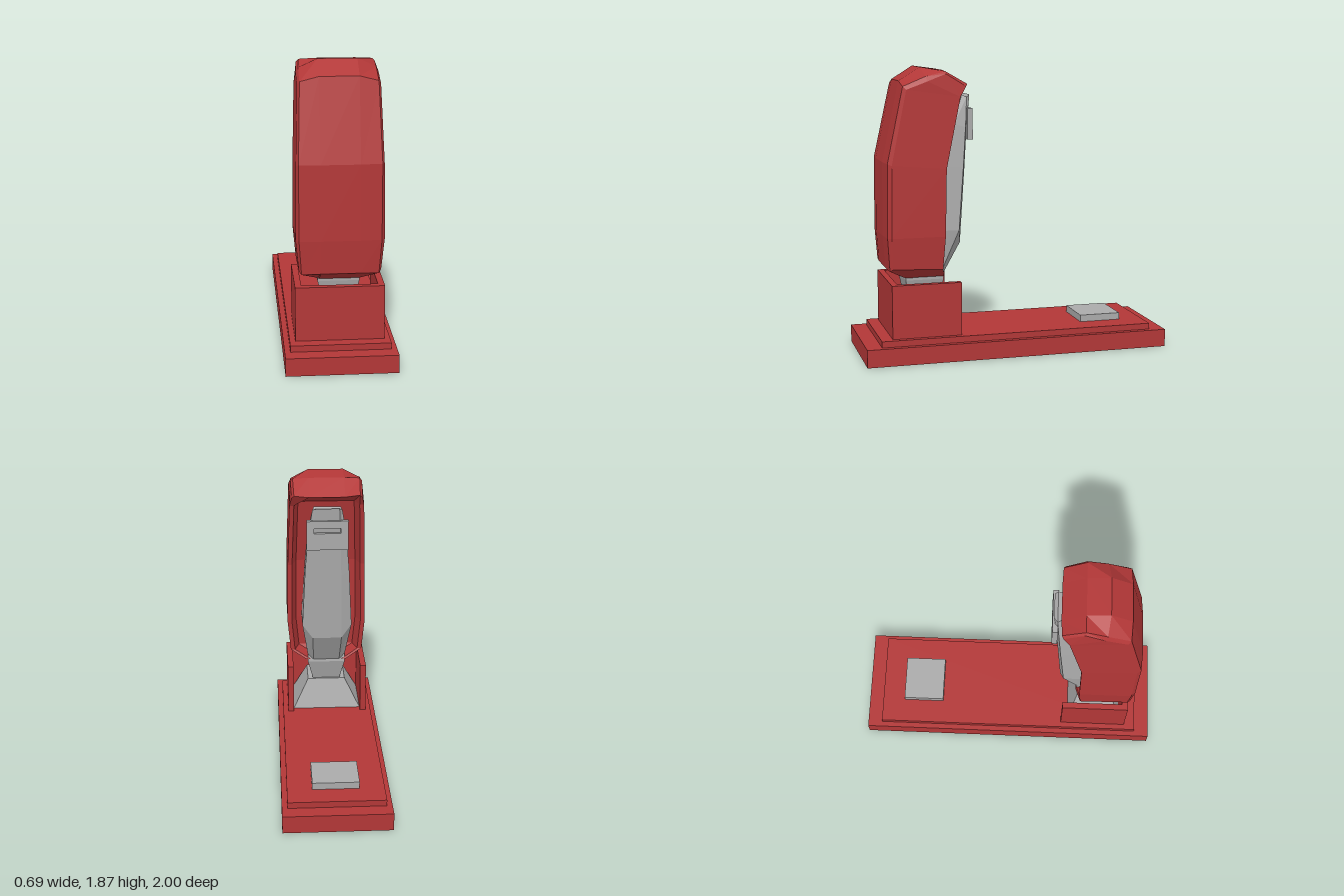
import * as THREE from 'three';

const red = new THREE.MeshStandardMaterial({ color: 0xb23737 });
red.name = 'red casing';
const gray = new THREE.MeshStandardMaterial({ color: 0xaaaaaa });
gray.name = 'gray metal';

// Skins matching rings of [x, y, z] points with flat facets and closes both ends.
function loft(rings, caps) {
  const pos = [];
  const tri = (a, b, c) => {
    const [A, B, C] = [a, b, c].map((p) => new THREE.Vector3(...p));
    const area = B.clone().sub(A).cross(C.clone().sub(A)).length();
    if (area > 1e-7) pos.push(...a, ...b, ...c);
  };
  const quad = (a, b, c, d) => { tri(a, b, c); tri(a, c, d); };
  const n = rings[0].length;
  for (let i = 0; i + 1 < rings.length; i++) {
    const lo = rings[i], hi = rings[i + 1];
    for (let k = 0; k < n; k++) {
      const j = (k + 1) % n;
      quad(lo[k], lo[j], hi[j], hi[k]);
    }
  }
  const first = rings[0], last = rings[rings.length - 1];
  for (const [a, b, c, d] of caps) {
    quad(first[d], first[c], first[b], first[a]);
    quad(last[a], last[b], last[c], last[d]);
  }
  const g = new THREE.BufferGeometry();
  g.setAttribute('position', new THREE.Float32BufferAttribute(pos, 3));
  g.computeVertexNormals();
  return g;
}

// Completes a half ring with its mirror image across x.
const mirrorRing = (half) => [...half, ...half.slice().reverse().map(([x, y, z]) => [-x, y, z])];

export function createModel() {
  const model = new THREE.Group();
  const add = (name, geometry, material) => {
    const mesh = new THREE.Mesh(geometry, material);
    mesh.name = name;
    model.add(mesh);
    return mesh;
  };
  const box = (name, material, x0, x1, y0, y1, z0, z1) =>
    add(name, new THREE.BoxGeometry(x1 - x0, y1 - y0, z1 - z0), material)
      .position.set((x0 + x1) / 2, (y0 + y1) / 2, (z0 + z1) / 2);

  // Stepped base and staple anvil
  box('base', red, -0.345, 0.345, 0, 0.115, -1, 1);
  box('baseStep', red, -0.31, 0.31, 0.115, 0.155, -0.9, 0.9);
  box('anvil', gray, -0.15, 0.15, 0.155, 0.2, -0.745, -0.47);

  // Three-sided hinge housing, open at the top and back
  const bracket = new THREE.Shape([
    [-0.275, -0.375], [-0.275, -0.825], [0.275, -0.825], [0.275, -0.375],
    [0.235, -0.375], [0.235, -0.785], [-0.235, -0.785], [-0.235, -0.375],
  ].map(([x, y]) => new THREE.Vector2(x, y)));
  const bracketGeo = new THREE.ExtrudeGeometry(bracket, { depth: 0.345, bevelEnabled: false });
  bracketGeo.rotateX(-Math.PI / 2);
  add('hingeHousing', bracketGeo, red).position.y = 0.155;

  // Flared pedestal and the neck rising from it: [half width, y, front z, back z]
  const column = (rows) => loft(
    rows.map(([w, y, zf, zb]) => mirrorRing([[w, y, zf], [w, y, zb]])), [[0, 1, 2, 3]]);
  add('hingePedestal', column([[0.235, 0.155, 0.785, 0.42], [0.13, 0.36, 0.72, 0.48]]), gray);
  add('hingeNeck', column([[0.09, 0.34, 0.68, 0.5], [0.13, 0.5, 0.71, 0.46], [0.13, 0.56, 0.71, 0.47]]), gray);

  // Handle shell: centre [z, y], edge [x, y, z], side [x, y, z], back rim [z, y]
  const stations = [
    [[0.70, 0.51], [0.13, 0.515, 0.69], [0.14, 0.52, 0.68], [0.46, 0.52]],
    [[0.84, 0.59], [0.235, 0.585, 0.83], [0.25, 0.6, 0.81], [0.49, 0.585]],
    [[0.855, 0.8], [0.25, 0.8, 0.845], [0.27, 0.8, 0.82], [0.475, 0.8]],
    [[0.85, 1.27], [0.25, 1.27, 0.84], [0.265, 1.26, 0.815], [0.465, 1.23]],
    [[0.74, 1.78], [0.235, 1.75, 0.735], [0.25, 1.73, 0.715], [0.37, 1.68]],
    [[0.605, 1.865], [0.235, 1.81, 0.59], [0.25, 1.78, 0.58], [0.37, 1.68]],
    [[0.46, 1.845], [0.225, 1.84, 0.46], [0.24, 1.825, 0.46], [0.37, 1.68]],
    [[0.315, 1.75], [0.22, 1.76, 0.32], [0.235, 1.745, 0.33], [0.37, 1.68]],
  ];
  const shellRings = stations.map(([c, e, s, b], i) => {
    const w = i > 4 ? 0.25 : s[0];
    return mirrorRing([
      [0.12, c[1], c[0]], e, s,
      [w, b[1], b[0]], [w - 0.03, b[1], b[0]], [w - 0.06, b[1], b[0] + 0.1],
    ]);
  });
  add('handleShell', loft(shellRings,
    [[0, 1, 4, 5], [1, 2, 3, 4], [0, 5, 6, 11], [6, 7, 10, 11], [7, 8, 9, 10]]), red);

  // Staple magazine: inner [x, y, z], side [x, y, z], back [x, y, z]
  const magazine = [
    [[0.13, 0.53, 0.62], [0.13, 0.55, 0.475], [0.09, 0.52, 0.46]],
    [[0.17, 0.82, 0.57], [0.17, 0.82, 0.365], [0.1, 0.73, 0.345]],
    [[0.15, 1.23, 0.47], [0.15, 1.23, 0.33], [0.095, 1.2, 0.312]],
    [[0.13, 1.5, 0.385], [0.13, 1.48, 0.31], [0.09, 1.46, 0.295]],
    [[0.09, 1.685, 0.325], [0.1, 1.67, 0.295], [0.08, 1.685, 0.272]],
  ];
  add('magazine', loft(magazine.map(mirrorRing), [[0, 1, 4, 5], [1, 2, 3, 4]]), gray);

  // Slotted clip across the magazine tip
  const rect = (C, x, y0, y1) => new C(
    [[-x, y0], [x, y0], [x, y1], [-x, y1]].map(([a, b]) => new THREE.Vector2(a, b)));
  const plate = rect(THREE.Shape, 0.14, 1.4, 1.6);
  plate.holes.push(rect(THREE.Path, 0.09, 1.515, 1.55));
  add('magazineClip', new THREE.ExtrudeGeometry(plate, { depth: 0.035, bevelEnabled: false }), gray)
    .position.z = 0.265;

  return model;
}
